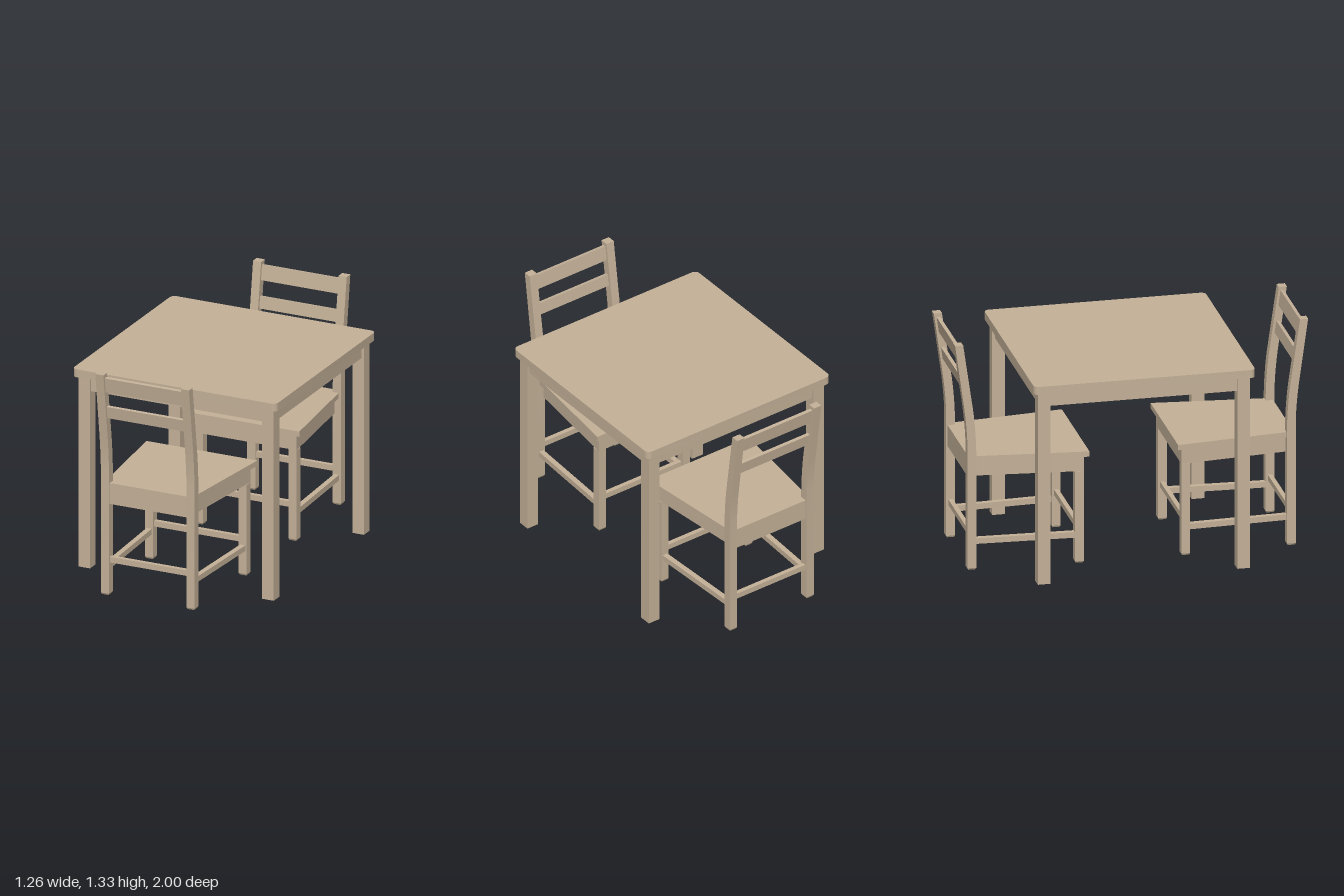
import * as THREE from 'three';
import { toCreasedNormals } from 'three/addons/utils/BufferGeometryUtils.js';

const wood = new THREE.MeshStandardMaterial({ color: 0xc5b299 });
wood.name = 'paleWood';

function add(parent, name, geometry) {
  const mesh = new THREE.Mesh(geometry, wood);
  mesh.name = name;
  parent.add(mesh);
  return mesh;
}

// Box given by its limits on each axis
function box(parent, name, x0, x1, y0, y1, z0, z1) {
  const mesh = add(parent, name, new THREE.BoxGeometry(x1 - x0, y1 - y0, z1 - z0));
  mesh.position.set((x0 + x1) / 2, (y0 + y1) / 2, (z0 + z1) / 2);
  return mesh;
}

// Upright slab with a plan outline of (x, z) points
function slab(parent, name, outline, y0, y1) {
  const shape = outline instanceof THREE.Shape
    ? outline
    : new THREE.Shape(outline.map(([x, z]) => new THREE.Vector2(x, z)));
  const geometry = new THREE.ExtrudeGeometry(shape, { depth: y1 - y0, bevelEnabled: false, curveSegments: 6 });
  geometry.rotateX(Math.PI / 2).translate(0, y1, 0);
  return add(parent, name, toCreasedNormals(geometry, 0.6));
}

function roundedSquare(h, r) {
  const s = new THREE.Shape();
  s.absarc(h - r, h - r, r, 0, Math.PI / 2);
  s.absarc(r - h, h - r, r, Math.PI / 2, Math.PI);
  s.absarc(r - h, r - h, r, Math.PI, Math.PI * 1.5);
  s.absarc(h - r, r - h, r, Math.PI * 1.5, Math.PI * 2);
  s.closePath();
  return s;
}

function createTable() {
  const table = new THREE.Group();
  table.name = 'table';
  slab(table, 'tableTop', roundedSquare(0.628, 0.03), 1.13, 1.177);
  for (const sx of [-1, 1]) {
    for (const sz of [-1, 1]) {
      const leg = box(table, 'tableLeg', -0.036, 0.036, 0, 1.13, -0.036, 0.036);
      leg.position.x = sx * 0.566;
      leg.position.z = sz * 0.566;
    }
    // Aprons under the top
    box(table, 'tableSideApron', -0.015, 0.015, 1.045, 1.13, -0.535, 0.535).position.x = sx * 0.572;
    box(table, 'tableEndApron', -0.535, 0.535, 1.045, 1.13, -0.015, 0.015).position.z = sx * 0.572;
  }
  return table;
}

// Rear leg that bends backwards above the seat, drawn in side profile
function postGeometry() {
  const s = new THREE.Shape();
  s.moveTo(0.88, 0.01);
  s.lineTo(0.93, 0.01);
  s.lineTo(0.93, 0.74);
  s.quadraticCurveTo(0.934, 0.86, 0.953, 0.99);
  s.lineTo(1.0, 1.328);
  s.lineTo(0.954, 1.328);
  s.lineTo(0.905, 0.99);
  s.quadraticCurveTo(0.884, 0.86, 0.88, 0.7);
  s.closePath();
  const geometry = new THREE.ExtrudeGeometry(s, { depth: 0.05, bevelEnabled: false, curveSegments: 6 });
  geometry.translate(0, 0, -0.025).rotateY(-Math.PI / 2);
  return toCreasedNormals(geometry, 0.5);
}

// Small chamfered end below each chair leg
function foot(parent, x, z) {
  const geometry = new THREE.CylinderGeometry(0.025 * Math.SQRT2, 0.02 * Math.SQRT2, 0.01, 4);
  geometry.rotateY(Math.PI / 4);
  add(parent, 'legFoot', toCreasedNormals(geometry, 0.3)).position.set(x, 0.005, z);
}

// Chair whose back points towards +z
function createChair(name) {
  const chair = new THREE.Group();
  chair.name = name;

  // Tapered seat, notched around the rear posts
  const half = [[0.342, 0.25], [0.275, 0.88], [0.238, 0.88], [0.238, 0.922]];
  const mirrored = half.map(([x, z]) => [-x, z]).reverse();
  slab(chair, 'seat', [...half, ...mirrored], 0.633, 0.664);

  const post = postGeometry();
  for (const s of [-1, 1]) {
    add(chair, 'rearPost', post).position.x = s * 0.2635;
    foot(chair, s * 0.2635, 0.905);
    box(chair, 'frontLeg', -0.025, 0.025, 0.01, 0.54, 0.275, 0.325).position.x = s * 0.288;
    foot(chair, s * 0.288, 0.3);
    // Side rails follow the taper of the seat
    slab(chair, 'sideApron',
      [[s * 0.313, 0.275], [s * 0.249, 0.885], [s * 0.224, 0.885], [s * 0.288, 0.275]], 0.54, 0.633);
    slab(chair, 'sideStretcher',
      [[s * 0.305, 0.315], [s * 0.278, 0.89], [s * 0.247, 0.89], [s * 0.273, 0.315]], 0.147, 0.18);
  }

  box(chair, 'frontApron', -0.29, 0.29, 0.54, 0.633, 0.275, 0.3);
  box(chair, 'rearApron', -0.24, 0.24, 0.54, 0.633, 0.897, 0.922);
  box(chair, 'frontStretcher', -0.265, 0.265, 0.192, 0.225, 0.287, 0.313);
  box(chair, 'rearStretcher', -0.24, 0.24, 0.192, 0.225, 0.892, 0.918);

  // Leaning back slats: middle height, height, depth position
  for (const [y, h, z] of [[1.263, 0.088, 0.968], [1.094, 0.07, 0.945]]) {
    const slat = add(chair, 'backSlat', new THREE.BoxGeometry(0.48, h, 0.02));
    slat.position.set(0, y, z);
    slat.rotation.x = 0.137;
  }
  return chair;
}

export function createModel() {
  const model = new THREE.Group();
  model.name = 'diningSet';
  const front = createChair('frontChair');
  front.position.x = -0.0135;
  const rear = createChair('rearChair');
  rear.rotation.y = Math.PI;
  rear.position.x = -0.001;
  model.add(createTable(), front, rear);
  return model;
}
